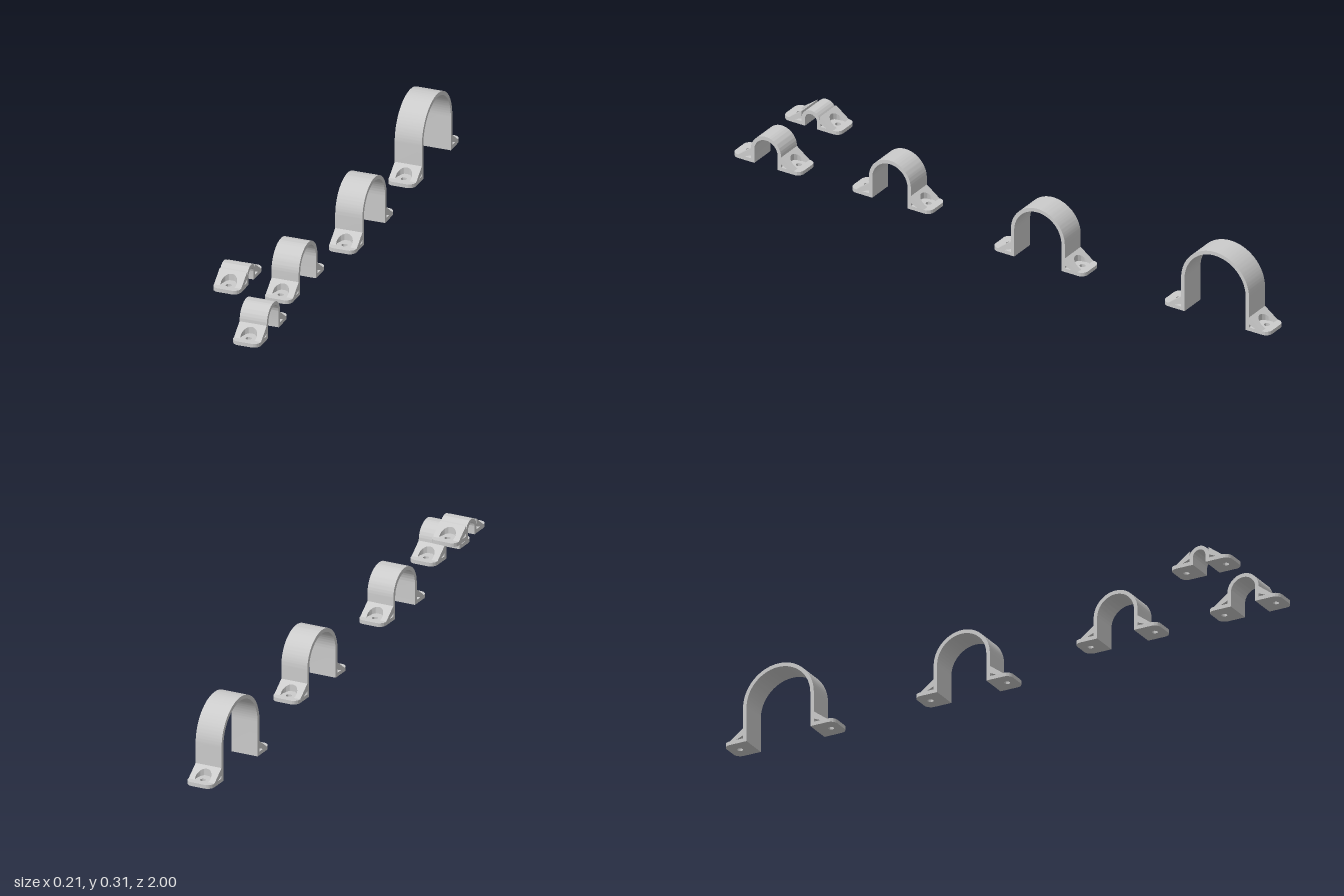
import * as THREE from 'three';
import { toCreasedNormals } from 'three/addons/utils/BufferGeometryUtils.js';

const W = 0.095;      // strap width
const T = 0.013;      // strap and foot thickness
const FOOT = 0.074;   // foot length beyond the leg
const HOLE_D = 0.038; // screw centre, measured from the leg
const material = new THREE.MeshStandardMaterial({ color: 0xcccccc });

function mesh(geometry, name) {
  const m = new THREE.Mesh(toCreasedNormals(geometry, 0.6), material);
  m.name = name;
  return m;
}

// Inverted U band: two straight legs and a half-round top
function strapGeometry(R, height) {
  const c = height - R, r = R - T;
  const s = new THREE.Shape();
  s.moveTo(R, 0);
  s.lineTo(R, c);
  s.absarc(0, c, R, 0, Math.PI, false);
  s.lineTo(-R, 0);
  s.lineTo(-r, 0);
  s.lineTo(-r, c);
  s.absarc(0, c, r, Math.PI, 0, true);
  s.lineTo(r, 0);
  const g = new THREE.ExtrudeGeometry(s, { depth: W, bevelEnabled: false, curveSegments: 40 });
  return g.translate(0, 0, -W / 2).rotateY(Math.PI / 2);
}

// Flat foot with rounded outer corners and a screw hole, running out along +z
function footGeometry() {
  const h = W / 2, k = 0.024, e = -FOOT;
  const s = new THREE.Shape();
  s.moveTo(h, 0.004);
  s.lineTo(-h, 0.004);
  s.lineTo(-h, e + k);
  s.absarc(-h + k, e + k, k, Math.PI, Math.PI * 1.5, false);
  s.lineTo(h - k, e);
  s.absarc(h - k, e + k, k, Math.PI * 1.5, Math.PI * 2, false);
  s.closePath();
  const hole = new THREE.Path();
  hole.absarc(0, -HOLE_D, 0.01, 0, Math.PI * 2, true);
  s.holes.push(hole);
  return new THREE.ExtrudeGeometry(s, { depth: T, bevelEnabled: false, curveSegments: 16 })
    .rotateX(-Math.PI / 2);
}

// Sloping brace between leg and foot, notched by a round screw-head pocket
function braceGeometry() {
  const h = W / 2, end = 0.05, r = 0.027;
  const a = Math.asin((end - HOLE_D) / r);
  const s = new THREE.Shape();
  s.moveTo(h, 0);
  s.lineTo(-h, 0);
  s.lineTo(-h, -end);
  s.absarc(0, -HOLE_D, r, Math.PI + a, -a, true);
  s.lineTo(h, -end);
  s.closePath();
  const g = new THREE.ExtrudeGeometry(s, { depth: 1, bevelEnabled: false, curveSegments: 28 })
    .rotateX(-Math.PI / 2);
  // Tilt both faces; the underside leaves a small triangular gap by the leg
  const p = g.attributes.position;
  for (let i = 0; i < p.count; i++) {
    const d = p.getZ(i);
    p.setY(i, p.getY(i) > 0.5 ? 0.05 - 0.75 * d : 0.024 - 0.44 * d);
  }
  return g;
}

function clamp(R, height) {
  const g = new THREE.Group();
  g.add(mesh(strapGeometry(R, height), 'strap'));
  for (const side of [0, 1]) {
    const foot = new THREE.Group();
    foot.name = side ? 'backFoot' : 'frontFoot';
    const base = mesh(footGeometry(), 'footPlate');
    const brace = mesh(braceGeometry(), 'brace');
    base.position.z = brace.position.z = R;
    brace.position.z -= 0.0005;
    foot.add(base, brace);
    foot.rotation.y = side * Math.PI;
    g.add(foot);
  }
  return g;
}

export function createModel() {
  const model = new THREE.Group();
  model.name = 'pipeClampSet';
  // outer radius, height, then position of the base centre
  const clamps = [
    [0.131, 0.251, -0.047, 0, -0.795],
    [0.104, 0.201, 0, 0.04, -0.142],
    [0.081, 0.156, 0, 0.097, 0.428],
    [0.058, 0.108, 0.058, 0.13, 0.868],
    [0.036, 0.062, -0.06, 0.248, 0.771],
  ];
  clamps.forEach(([R, height, x, y, z], i) => {
    const c = clamp(R, height);
    c.name = 'pipeClamp' + (i + 1);
    c.position.set(x, y, z);
    model.add(c);
  });
  return model;
}
